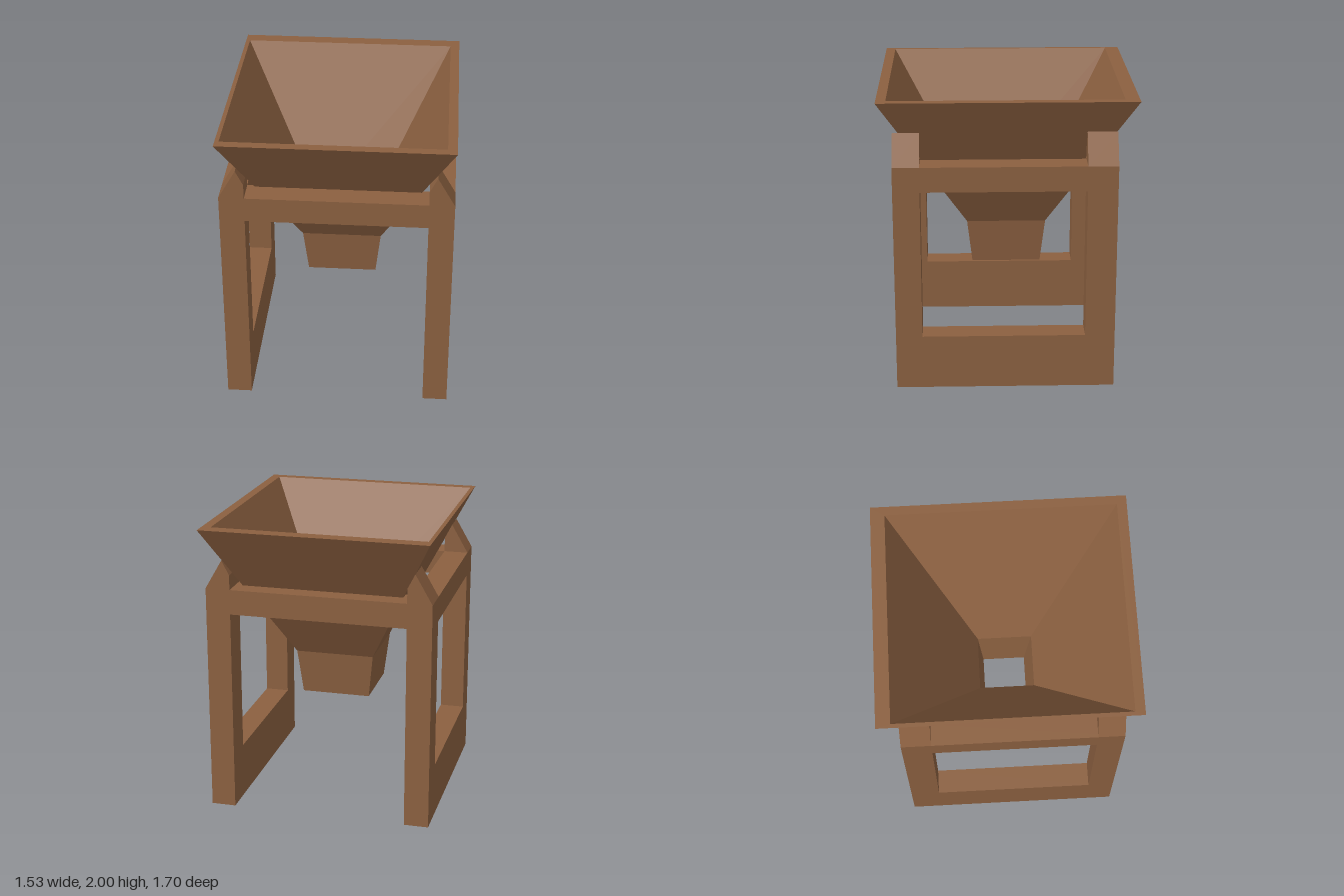
import * as THREE from 'three';

const IN = 0.6, OUT = 0.767;          // inner and outer x of the legs
const BACK = -0.72, FRONT = 0.755;    // frame ends in z
const BACK_IN = -0.52, FRONT_IN = 0.577;
const RAIL_LOW = 1.4, RAIL_TOP = 1.57;

const polygon = (points) => points.map(([x, y]) => new THREE.Vector2(x, y));

// Rectangular rings [y, xMin, xMax, zMin, zMax] joined into a closed, square-cornered shell
function ringShell(rings) {
  const corners = rings.map(([y, x0, x1, z0, z1]) => [[x0, y, z1], [x1, y, z1], [x1, y, z0], [x0, y, z0]]);
  const pos = [];
  corners.forEach((a, i) => {
    const b = corners[(i + 1) % corners.length];
    for (let k = 0; k < 4; k++) {
      const n = (k + 1) % 4;
      pos.push(...a[k], ...a[n], ...b[n], ...a[k], ...b[n], ...b[k]);
    }
  });
  const geometry = new THREE.BufferGeometry();
  geometry.setAttribute('position', new THREE.Float32BufferAttribute(pos, 3));
  geometry.computeVertexNormals();
  return geometry;
}

export function createModel() {
  const model = new THREE.Group();
  model.name = 'hopperOnStand';
  const wood = new THREE.MeshStandardMaterial({ color: 0x8b6040 });
  wood.name = 'brown wood';

  const add = (name, geometry) => {
    const mesh = new THREE.Mesh(geometry, wood);
    mesh.name = name;
    model.add(mesh);
    return mesh;
  };

  // Side frames: two legs, deep bottom board and top rail around an opening
  // (drawn with shape x = -z, then turned so the extrusion runs along x)
  const side = new THREE.Shape(polygon([[-FRONT, 0], [-BACK, 0], [-BACK, RAIL_TOP], [-FRONT, RAIL_TOP]]));
  side.holes.push(new THREE.Path(polygon([
    [-FRONT_IN, 0.375], [-FRONT_IN, RAIL_LOW], [-BACK_IN, RAIL_LOW], [-BACK_IN, 0.375],
  ])));
  const sideGeometry = new THREE.ExtrudeGeometry(side, { depth: OUT - IN, bevelEnabled: false });
  sideGeometry.rotateY(Math.PI / 2);
  add('leftSideFrame', sideGeometry).position.x = IN;
  add('rightSideFrame', sideGeometry).position.x = -OUT;

  // Rails across the front and back
  for (const [name, z0, z1] of [['frontRail', FRONT_IN, FRONT], ['backRail', BACK, BACK_IN]]) {
    const rail = add(name, new THREE.BoxGeometry(2 * IN, RAIL_TOP - RAIL_LOW, z1 - z0));
    rail.position.set(0, (RAIL_LOW + RAIL_TOP) / 2, (z0 + z1) / 2);
  }

  // Pointed post tops that cradle the hopper
  for (const s of [1, -1]) {
    const peak = new THREE.Shape(polygon([
      [s * IN, RAIL_TOP], [s * OUT, RAIL_TOP], [s * 0.651, 1.77], [s * IN, 1.67],
    ]));
    for (const [end, z0, z1] of [['Front', FRONT_IN, FRONT], ['Back', BACK, BACK_IN]]) {
      const geometry = new THREE.ExtrudeGeometry(peak, { depth: z1 - z0, bevelEnabled: false });
      add((s > 0 ? 'left' : 'right') + end + 'PostTop', geometry).position.z = z0;
    }
  }

  // Hollow funnel and chute: up the outside, over the rim, down the inside
  add('hopper', ringShell([
    [0.715, -0.235, 0.235, -0.235, 0.235],
    [1.02, -0.27, 0.27, -0.27, 0.27],
    [2, -0.767, 0.767, -0.85, 0.85],
    [2, -0.74, 0.705, -0.755, 0.785],
    [1.02, -0.195, 0.175, -0.18, 0.2],
    [0.715, -0.145, 0.13, -0.145, 0.15],
  ]));

  return model;
}
